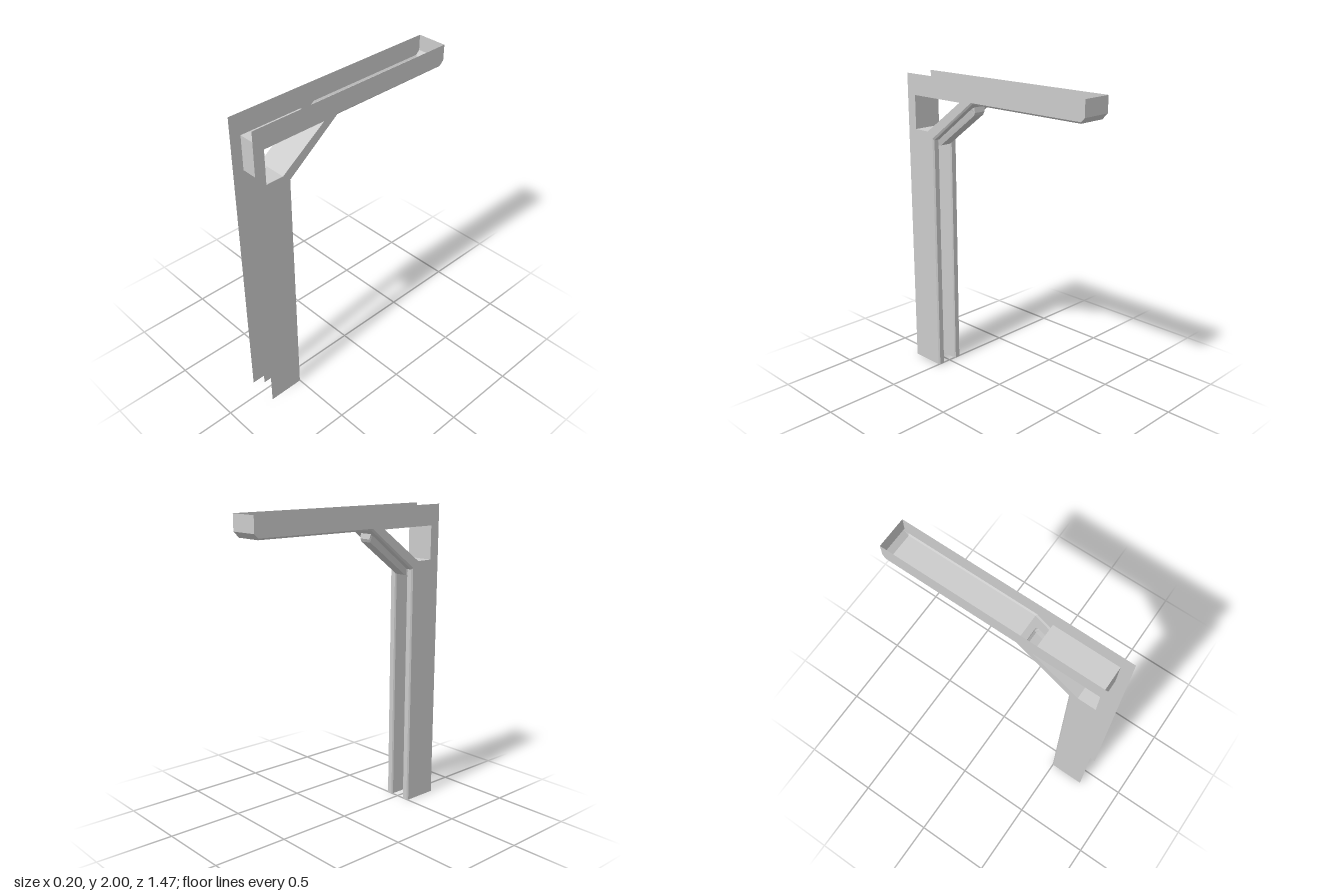
import * as THREE from 'three';

const material = new THREE.MeshStandardMaterial({ color: 0xcccccc, side: THREE.DoubleSide, flatShading: true });

// Sheet surface joining successive rows of [x, y, z] points.
function sheet(name, rows) {
  const pos = [];
  for (let i = 0; i < rows.length - 1; i++) {
    for (let j = 0; j < rows[i].length - 1; j++) {
      const a = rows[i][j], b = rows[i][j + 1], c = rows[i + 1][j + 1], d = rows[i + 1][j];
      pos.push(...a, ...b, ...c, ...a, ...c, ...d);
    }
  }
  const geo = new THREE.BufferGeometry();
  geo.setAttribute('position', new THREE.Float32BufferAttribute(pos, 3));
  geo.computeVertexNormals();
  const mesh = new THREE.Mesh(geo, material);
  mesh.name = name;
  return mesh;
}

const toVectors = (pts) => pts.map(([z, y]) => new THREE.Vector2(z, y));

export function createModel() {
  const group = new THREE.Group();
  group.name = 'bracketCover';

  // Side profile and triangular window, as [z, y]
  const outline = [[0.735, 0], [0.735, 2], [-0.73, 2], [-0.73, 1.9], [-0.705, 1.875],
    [0.145, 1.875], [0.505, 1.605], [0.505, 0]];
  const windowPts = [[0.665, 1.865], [0.665, 1.645], [0.55, 1.645], [0.245, 1.865]];

  // Side plates
  const shape = new THREE.Shape(toVectors(outline));
  shape.holes.push(new THREE.Path(toVectors(windowPts)));
  for (const s of [1, -1]) {
    const plate = new THREE.Mesh(new THREE.ShapeGeometry(shape).rotateY(-Math.PI / 2), material);
    plate.position.x = 0.098 * s;
    plate.name = s > 0 ? 'leftSidePlate' : 'rightSidePlate';
    group.add(plate);
  }

  // Walls lining the window
  const ring = [...windowPts, windowPts[0]];
  group.add(sheet('windowLining', ring.map(([z, y]) => [[-0.098, y, z], [0.098, y, z]])));

  // Arm end and floor, with bevelled long edges
  const armStations = [
    [[-0.73, 2], [-0.73, 2], 0.09],
    [[-0.73, 1.9], [-0.73, 1.9], 0.09],
    [[-0.705, 1.875], [-0.7, 1.865], 0.09],
    [[0.145, 1.875], [0.14, 1.865], 0.09],
  ];
  group.add(sheet('armFloor', armStations.map(([[pz, py], [qz, qy], w]) =>
    [[-0.098, py, pz], [-w, qy, qz], [w, qy, qz], [0.098, py, pz]])));

  // Brace: flat strip above the tray
  group.add(sheet('braceTop', [
    [[-0.05, 1.865, 0.14], [0.05, 1.865, 0.14]],
    [[-0.05, 1.838, 0.175], [0.05, 1.838, 0.175]],
  ]));

  for (const s of [1, -1]) {
    const side = s > 0 ? 'left' : 'right';
    // Brace flange beside the tray
    group.add(sheet(side + 'BraceFlange', [
      [[0.098 * s, 1.875, 0.145], [0.09 * s, 1.865, 0.14], [0.05 * s, 1.865, 0.14]],
      [[0.098 * s, 1.605, 0.505], [0.09 * s, 1.595, 0.495], [0.05 * s, 1.595, 0.495]],
    ]));
    // Post lip turning into the inner wall, which tapers towards the foot
    const lip = (y, yInner, depth) => [[0.098 * s, y && y + 0.01, 0.505], [0.09 * s, y, 0.495],
      [0.056 * s, y, 0.495], [0.05 * s, yInner, 0.505], [0.05 * s, yInner, depth]];
    group.add(sheet(side + 'PostChannel', [lip(0, 0, 0.68), lip(1.595, 1.555, 0.735)]));
  }

  // Shallow tray pressed out of the brace: rim, bevel, floor
  const trayRow = (rim, floor) => [[-0.05, ...rim], [-0.04, ...floor], [0.04, ...floor], [0.05, ...rim]];
  group.add(sheet('braceTray', [
    [[-0.05, 1.838, 0.175], [-0.04, 1.838, 0.175], [0.04, 1.838, 0.175], [0.05, 1.838, 0.175]],
    trayRow([1.83, 0.185], [1.805, 0.17]),
    trayRow([1.82, 0.2], [1.785, 0.18]),
    trayRow([1.595, 0.495], [1.555, 0.49]),
  ]));
  // Lower end of the tray
  group.add(sheet('trayEnd', [
    [[-0.05, 1.595, 0.495], [-0.04, 1.555, 0.49], [0.04, 1.555, 0.49], [0.05, 1.595, 0.495]],
    [[-0.05, 1.555, 0.505], [-0.04, 1.555, 0.505], [0.04, 1.555, 0.505], [0.05, 1.555, 0.505]],
    [[-0.05, 1.555, 0.55], [-0.04, 1.555, 0.55], [0.04, 1.555, 0.55], [0.05, 1.555, 0.55]],
  ]));

  return group;
}
